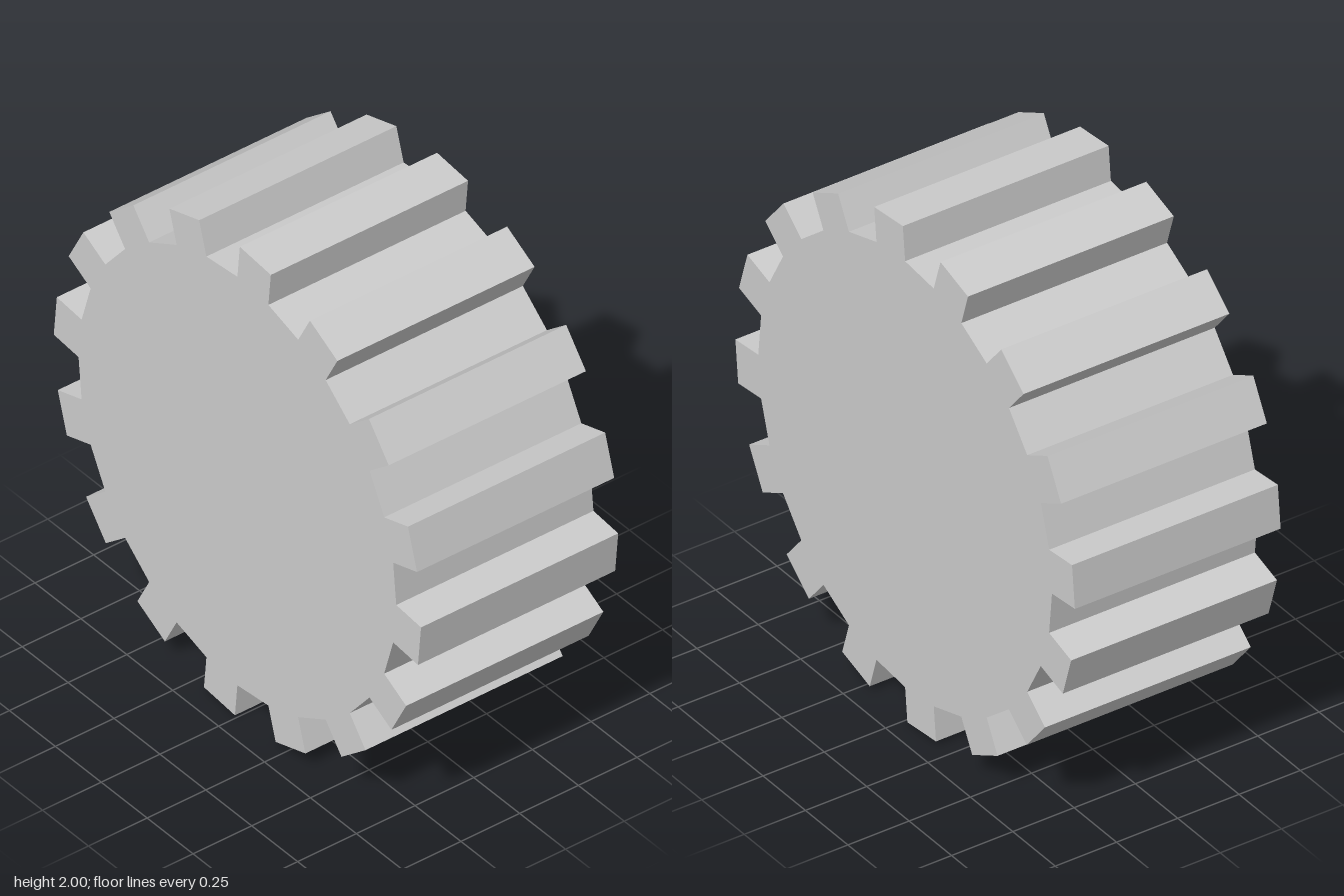
import * as THREE from 'three';

const TEETH = 16;
const ROOT_RADIUS = 0.865;
const TIP_DISTANCE = 0.9965; // centre to the flat top of a tooth
const WIDTH = 0.84;

// Gear outline: a 32-sided polygon with every other side raised into a straight tooth
function gearShape() {
  const points = [];
  const step = Math.PI / TEETH;
  const half = ROOT_RADIUS * Math.sin(step / 2);
  const root = ROOT_RADIUS * Math.cos(step / 2);
  for (let i = 0; i < TEETH; i++) {
    const a = (2 * i + 0.5) * step;
    const axis = new THREE.Vector2(Math.sin(a), Math.cos(a));
    const side = new THREE.Vector2(Math.cos(a), -Math.sin(a));
    for (const [r, s] of [[root, -half], [TIP_DISTANCE, -half], [TIP_DISTANCE, half], [root, half]]) {
      points.push(axis.clone().multiplyScalar(r).addScaledVector(side, s));
    }
  }
  return new THREE.Shape(points);
}

export function createModel() {
  const group = new THREE.Group();
  group.name = 'gear';

  // Solid gear wheel, lying along the x axis
  const geometry = new THREE.ExtrudeGeometry(gearShape(), { depth: WIDTH, bevelEnabled: false });
  geometry.translate(0, 0, -WIDTH / 2);
  geometry.rotateY(-Math.PI / 2);
  geometry.translate(0, 1, 0);

  const material = new THREE.MeshStandardMaterial({ color: 0xcccccc, flatShading: true });
  const wheel = new THREE.Mesh(geometry, material);
  wheel.name = 'toothedWheel';
  group.add(wheel);
  return group;
}
